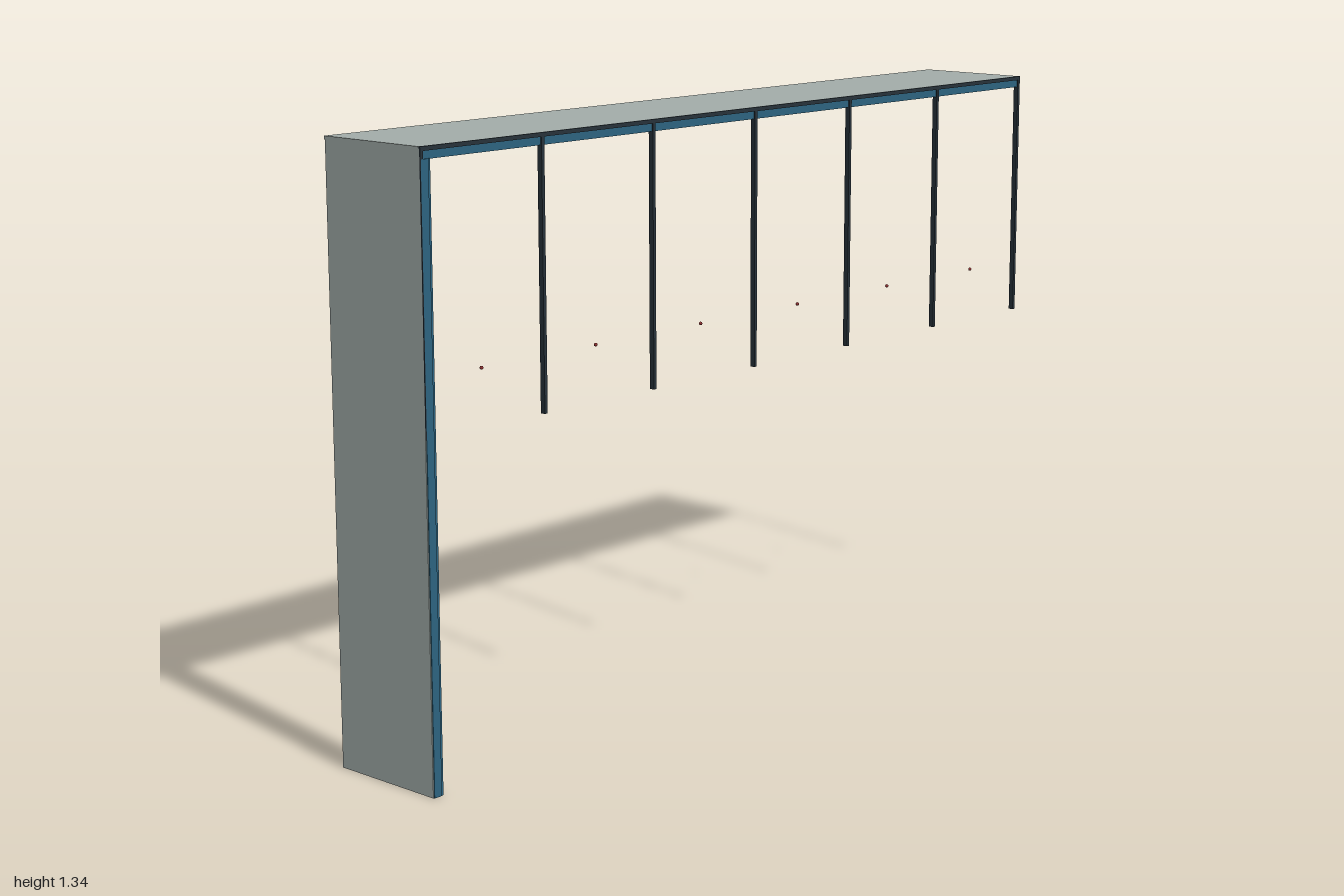
import * as THREE from 'three';

const mat = (color) => new THREE.MeshStandardMaterial({ color, side: THREE.DoubleSide });
const grey = mat(0xa3adaa), dark = mat(0x3f4f5b), blue = mat(0x2d6480), black = mat(0x27323a), red = mat(0x8a3030);

// Box given by its limits on each axis
function box(parent, name, [x0, x1], [y0, y1], [z0, z1], material) {
  const mesh = new THREE.Mesh(new THREE.BoxGeometry(x1 - x0, y1 - y0, z1 - z0), material);
  mesh.position.set((x0 + x1) / 2, (y0 + y1) / 2, (z0 + z1) / 2);
  mesh.name = name;
  parent.add(mesh);
  return mesh;
}

function group(parent, name) {
  const g = new THREE.Group();
  g.name = name;
  parent.add(g);
  return g;
}

export function createModel() {
  const model = new THREE.Group();
  model.name = 'canopyWithSideWall';
  const TOP = 1.335, PITCH = 0.332;

  // Side wall: outer sheet, front and rear jambs
  const wall = group(model, 'sideWall');
  box(wall, 'wallSheet', [-1, -0.992], [0, TOP - 0.005], [-0.14, 0.14], grey);
  box(wall, 'frontJamb', [-0.992, -0.972], [0, 1.31], [0.132, 0.14], blue);
  box(wall, 'frontJambTrim', [-0.998, -0.978], [0, 1.31], [0.138, 0.142], blue);
  box(wall, 'rearJamb', [-0.992, -0.974], [0, 1.31], [-0.14, -0.123], black);

  // Wall battens and inset panels
  for (let i = 0; i < 4; i++) {
    const y = 0.008 + i * 0.331;
    box(wall, 'wallBatten', [-0.992, -0.976], [y - 0.005, y + 0.005], [-0.14, 0.135], grey);
    if (i < 3) box(wall, 'wallPanel', [-0.992, -0.986], [y + 0.052, y + 0.278], [-0.071, 0.065], dark);
  }

  // Canopy: top sheet, front fascia, rear rail and end rails
  const canopy = group(model, 'canopy');
  box(canopy, 'roofSheet', [-1, 1], [1.327, TOP], [-0.142, 0.138], grey);
  box(canopy, 'frontFascia', [-0.995, 0.998], [1.309, 1.326], [0.13, 0.139], blue);
  box(canopy, 'frontLip', [-1, 1], [1.326, TOP], [0.136, 0.142], black);
  box(canopy, 'rearRail', [-0.995, 0.998], [1.311, 1.327], [-0.14, -0.125], black);
  for (const x of [-0.995, 0.995]) {
    box(canopy, 'endRail', [x - 0.005, x + 0.005], [1.309, 1.33], [-0.14, 0.138], grey);
  }

  // Ceiling battens between six bays, each with a dark panel
  for (let i = 0; i < 6; i++) {
    const x = (i - 2.5) * PITCH;
    box(canopy, 'ceilingPanel', [x - 0.113, x + 0.113], [1.321, 1.327], [-0.071, 0.065], dark);
    if (i < 5) {
      const b = x + PITCH / 2;
      box(canopy, 'ceilingBatten', [b - 0.005, b + 0.005], [1.312, 1.327], [-0.14, 0.135], grey);
    }
  }

  // Four louvred vents under the rear half of the ceiling
  for (let i = 0; i < 4; i++) {
    const vent = group(model, 'louvredVent');
    vent.position.x = -0.735 + i * 0.5;
    for (let s = 0; s < 5; s++) {
      const z = -0.108 + s * 0.033;
      box(vent, 'slat', [-0.108, 0.108], [1.306, 1.31], [z - 0.013, z + 0.013], grey);
    }
    box(vent, 'ventBackPlate', [-0.108, 0.108], [1.284, 1.31], [-0.137, -0.132], grey);
    for (const s of [-1, 1]) {
      const x = s * 0.114;
      box(vent, 'ventBracket', [x - 0.008, x + 0.008], [1.303, 1.311], [-0.138, -0.095], black);
      box(vent, 'ventFrontClip', [x - 0.006, x + 0.006], [1.303, 1.311], [0.03, 0.045], black);
      box(vent, 'ventSide', [s * 0.108 - 0.002, s * 0.108 + 0.002], [1.304, 1.318], [-0.125, 0.04], grey);
    }
  }

  // Hanging rods along the front
  for (let i = 0; i < 7; i++) {
    const x = (i - 3) * PITCH;
    box(model, 'hangingRod', [x - 0.004, x + 0.004], [0.75, 1.328], [0.13, 0.142], black);
  }

  // Small beads between the rods
  for (let i = 0; i < 6; i++) {
    const bead = new THREE.Mesh(new THREE.SphereGeometry(0.004, 10, 8), red);
    bead.position.set((i - 2.5) * PITCH, 0.87, 0.125);
    bead.name = 'bead';
    model.add(bead);
  }
  return model;
}
